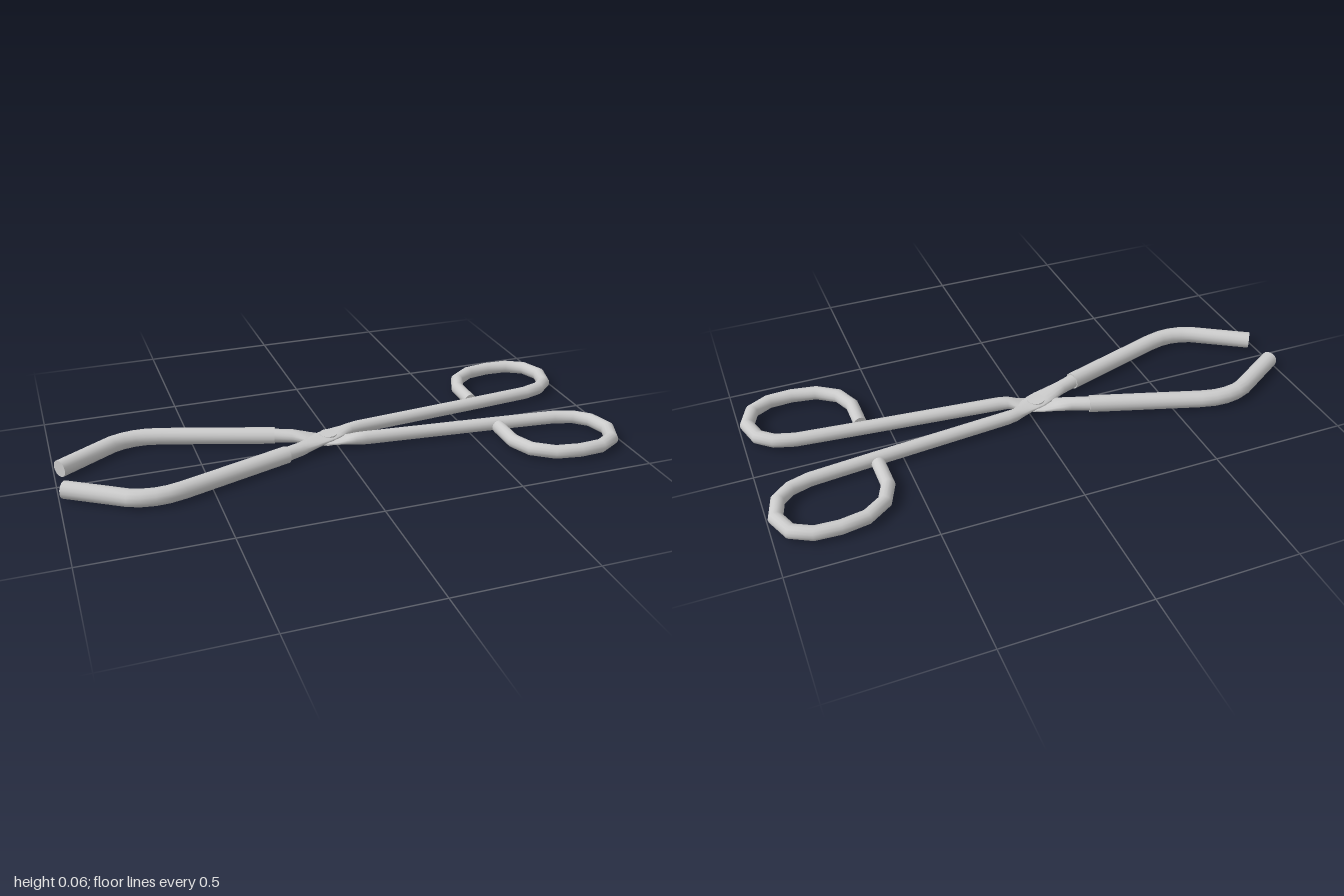
import * as THREE from 'three';

const MID = 0.032; // height of the rod centreline
const SIDES = 14;

// Sweep an elliptical section along stations [x, z, halfWidth, halfHeight, y], mitred at bends, capped at both ends
function sweep(stations) {
  const pos = [], index = [];
  const pts = stations.map(([x, z]) => new THREE.Vector2(x, z));
  const last = pts.length - 1;
  const rings = stations.map(([x, z, hw, hh, y], i) => {
    const before = pts[Math.max(i, 1)].clone().sub(pts[Math.max(i, 1) - 1]).normalize();
    const next = Math.min(i, last - 1);
    const after = pts[next + 1].clone().sub(pts[next]).normalize();
    const t = before.clone().add(after).normalize();
    const w = hw / t.dot(after);
    return Array.from({ length: SIDES }, (_, j) => {
      const a = (j / SIDES) * Math.PI * 2;
      const c = Math.cos(a) * w;
      return [x - t.y * c, y + Math.sin(a) * hh, z + t.x * c];
    });
  });
  rings.forEach((ring) => ring.forEach((p) => pos.push(...p)));
  for (let i = 0; i < last; i++) {
    for (let j = 0; j < SIDES; j++) {
      const k = (j + 1) % SIDES;
      const a = i * SIDES + j, b = i * SIDES + k;
      index.push(a, a + SIDES, b, b, a + SIDES, b + SIDES);
    }
  }
  // End caps with their own vertices, for sharp rims
  [0, last].forEach((i) => {
    const base = pos.length / 3;
    rings[i].forEach((p) => pos.push(...p));
    for (let j = 1; j < SIDES - 1; j++) {
      if (i === 0) index.push(base, base + j, base + j + 1);
      else index.push(base, base + j + 1, base + j);
    }
  });
  const geo = new THREE.BufferGeometry();
  geo.setAttribute('position', new THREE.Float32BufferAttribute(pos, 3));
  geo.setIndex(index);
  geo.computeVertexNormals();
  return geo;
}

export function createModel() {
  const group = new THREE.Group();
  const material = new THREE.MeshStandardMaterial({ color: 0xcccccc });
  const add = (name, geo, parent) => {
    const mesh = new THREE.Mesh(geo, material);
    mesh.name = name;
    parent.add(mesh);
    return mesh;
  };

  // Centrelines in x, z
  const jawPath = [
    [-0.98, 0.074], [-0.785, 0.197], [-0.745, 0.212], [-0.7, 0.219], [-0.655, 0.217], [-0.6, 0.204], [-0.21, 0.078],
  ];
  const loopPath = [
    [0.1, -0.046], [0.6, -0.092], [0.83, -0.115], [0.9, -0.137], [0.949, -0.18], [0.972, -0.262],
    [0.941, -0.339], [0.875, -0.376], [0.79, -0.381], [0.7, -0.366], [0.628, -0.315], [0.596, -0.24], [0.596, -0.12],
  ];

  // Two crossing arms, mirrored in z, one passing over the other
  [1, -1].forEach((s) => {
    const arm = new THREE.Group();
    arm.name = s > 0 ? 'upperArm' : 'lowerArm';
    group.add(arm);

    add('jawSleeve', sweep(jawPath.map(([x, z]) => [x, s * z, 0.031, 0.031, MID])), arm);

    // Rod: round in the jaw, flattened at the pivot, round again through the finger loop
    const rod = [
      [-0.24, 0.088, 0.026, 0.026, MID],
      [-0.15, 0.054, 0.027, 0.024, MID],
      [-0.1, 0.031, 0.036, 0.016, MID + s * 0.004],
      [-0.06, 0.013, 0.042, 0.009, MID + s * 0.008],
      [-0.03, 0, 0.043, 0.008, MID + s * 0.008],
      [0.0, -0.012, 0.039, 0.009, MID + s * 0.008],
      [0.035, -0.028, 0.029, 0.016, MID + s * 0.004],
      [0.065, -0.04, 0.023, 0.023, MID],
      ...loopPath.map(([x, z]) => [x, z, 0.024, 0.025, MID]),
    ];
    add('handleRod', sweep(rod.map(([x, z, ...rest]) => [x, s * z, ...rest])), arm);
  });

  // Rivet through both arms
  const rivet = add('pivotRivet', new THREE.CylinderGeometry(0.032, 0.032, 0.036, 20), group);
  rivet.position.set(-0.03, MID, 0);

  return group;
}
